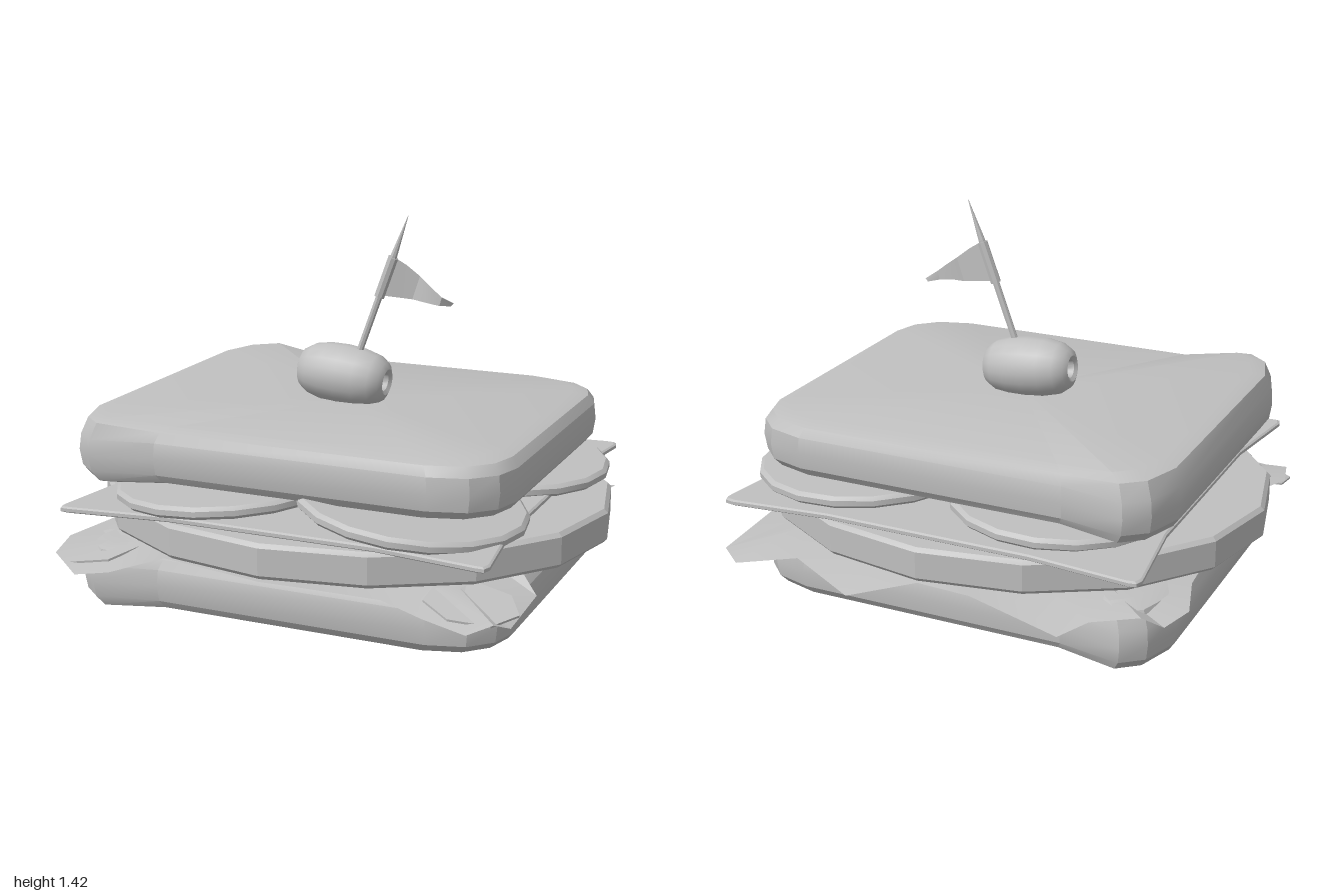
import * as THREE from 'three';
import { toCreasedNormals } from 'three/addons/utils/BufferGeometryUtils.js';

const grey = new THREE.MeshStandardMaterial({ color: 0xc0c0c0 });
grey.name = 'plain grey';
const greyThin = new THREE.MeshStandardMaterial({ color: 0xc0c0c0, side: THREE.DoubleSide });
greyThin.name = 'plain grey sheet';

function part(group, name, geometry, material = grey, crease = 0.45) {
  const mesh = new THREE.Mesh(toCreasedNormals(geometry, crease), material);
  mesh.name = name;
  group.add(mesh);
  return mesh;
}

function build(positions, index) {
  const g = new THREE.BufferGeometry();
  g.setAttribute('position', new THREE.Float32BufferAttribute(positions, 3));
  g.setIndex(index);
  g.computeVertexNormals();
  return g;
}

// Stacks scaled copies of an [x, z] outline (clockwise from above); rings are [y, scale]
function loft(outline, rings, centre = [0, 0], lift = () => 0) {
  const [cx, cz] = centre, n = outline.length, pos = [], idx = [];
  for (const [y, s] of rings) {
    for (const [x, z] of outline) {
      pos.push(cx + (x - cx) * s, y + lift(x, y), cz + (z - cz) * s);
    }
  }
  const last = (rings.length - 1) * n, bottom = rings.length * n;
  pos.push(cx, rings[0][0], cz, cx, rings[rings.length - 1][0], cz);
  for (let i = 0; i < n; i++) {
    const j = (i + 1) % n;
    for (let r = 0; r < last; r += n) {
      idx.push(r + i, r + n + i, r + j, r + j, r + n + i, r + n + j);
    }
    idx.push(bottom, i, j, bottom + 1, last + j, last + i);
  }
  return build(pos, idx);
}

function ellipse(rx, rz, n) {
  return Array.from({ length: n }, (_, i) => {
    const a = (i / n) * Math.PI * 2;
    return [rx * Math.cos(a), rz * Math.sin(a)];
  });
}

// Straight tapered rod between two points
function rod(group, name, a, b, r0, r1, sides = 8) {
  const from = new THREE.Vector3(...a), dir = new THREE.Vector3(...b).sub(from);
  const m = part(group, name, new THREE.CylinderGeometry(r1, r0, dir.length(), sides));
  m.position.copy(from).addScaledVector(dir, 0.5);
  m.quaternion.setFromUnitVectors(new THREE.Vector3(0, 1, 0), dir.normalize());
  return m;
}

export function createModel() {
  const model = new THREE.Group();
  model.name = 'sandwich';

  // Bread: rounded slices with two slightly raised ears on one side
  const slice = [
    [-0.86, -0.52], [-0.81, -0.67], [-0.73, -0.735], [-0.49, -0.69], [0.56, -0.69],
    [0.7, -0.65], [0.78, -0.57], [0.81, -0.47], [0.81, 0.49], [0.78, 0.6], [0.7, 0.68],
    [0.56, 0.72], [-0.49, 0.72], [-0.73, 0.77], [-0.81, 0.7], [-0.86, 0.54]];
  const crust = [[0, 0.9], [0.012, 0.96], [0.05, 0.99], [0.11, 1], [0.17, 0.992], [0.205, 0.965], [0.22, 0.9]];
  const ear = (x, y) => (x < -0.6 && y > 0.2 ? 0.025 : x > -0.6 && y < 0.02 ? 0.008 : 0);
  for (const [name, y] of [['bottomBread', 0.003], ['topBread', 0.483]]) {
    part(model, name, loft(slice, crust, [-0.02, 0.015], ear)).position.y = y;
  }

  // Lettuce: ragged sheet with drooping edges, points [x, z, y]
  const leaf = [
    [-0.87, -0.4, 0.24], [-0.92, -0.57, 0.22], [-0.87, -0.68, 0.2], [-0.8, -0.72, 0.24],
    [-0.63, -0.77, 0.21], [-0.55, -0.86, 0.18], [-0.2, -0.82, 0.24], [0.02, -0.79, 0.23],
    [0.25, -0.9, 0.18], [0.51, -0.8, 0.23], [0.74, -0.86, 0.19], [0.81, -0.82, 0.22],
    [0.8, -0.5, 0.25], [0.84, 0, 0.25], [0.8, 0.4, 0.25], [0.88, 0.48, 0.2],
    [0.87, 0.73, 0.17], [0.84, 0.82, 0.21], [0.76, 0.87, 0.18], [0.6, 0.86, 0.21],
    [0.42, 0.78, 0.22], [0.15, 0.83, 0.24], [0, 0.86, 0.25], [-0.2, 0.8, 0.24], [-0.42, 0.78, 0.25],
    [-0.6, 0.87, 0.2], [-0.73, 0.89, 0.18], [-0.86, 0.81, 0.22], [-0.9, 0.65, 0.23],
    [-0.82, 0.4, 0.25]];
  const pos = [], idx = [], n = leaf.length;
  for (const s of [0.78, 1]) {
    for (const [x, z, y] of leaf) pos.push(x * s, s < 1 ? 0.25 : y, z * s);
  }
  pos.push(0, 0.25, 0);
  for (let i = 0; i < n; i++) {
    const j = (i + 1) % n;
    idx.push(2 * n, j, i, i, j, n + i, j, n + j, n + i);
  }
  part(model, 'lettuce', build(pos, idx), greyThin);

  // Folded lettuce tips at the front corners
  for (const [x, z, turn] of [[-0.74, 0.7, 0.12], [0.72, 0.7, -0.12]]) {
    const tip = part(model, 'lettuceFold', loft(ellipse(0.17, 0.14, 7), [[-0.004, 1], [0.004, 1]]));
    tip.position.set(x, 0.225, z);
    tip.rotation.set(0.15, 0, turn);
  }

  // Thick round patty
  const patty = loft(ellipse(1, 0.855, 16), [[0.26, 0.985], [0.275, 1], [0.375, 1], [0.39, 0.985]]);
  part(model, 'patty', patty, grey, 0.3).position.z = 0.015;

  // Cheese: square sheet with gently hollow edges and rounded corners
  const cheese = [
    [-0.82, -0.77], [-0.81, -0.8], [-0.78, -0.805], [-0.4, -0.765], [0.4, -0.765],
    [0.78, -0.805], [0.81, -0.8], [0.82, -0.77], [0.77, -0.4], [0.77, 0.44], [0.82, 0.81],
    [0.81, 0.84], [0.78, 0.84], [0.4, 0.79], [-0.4, 0.79], [-0.78, 0.84], [-0.81, 0.84],
    [-0.82, 0.81], [-0.77, 0.44], [-0.77, -0.4]];
  part(model, 'cheese', loft(cheese, [[0.39, 0.99], [0.395, 1], [0.407, 1], [0.412, 0.99]]));

  // Four overlapping tomato slices [x, y, z, radius, tilt]
  for (const [x, y, z, r, tilt] of [
    [-0.33, 0.435, -0.31, 0.42, 0.03], [0.47, 0.437, -0.3, 0.435, -0.04],
    [-0.33, 0.452, 0.44, 0.42, 0.06], [0.4, 0.458, 0.44, 0.42, -0.12]]) {
    const tomato = part(model, 'tomatoSlice',
      loft(ellipse(r, r, 18), [[-0.023, 0.965], [-0.01, 1], [0.01, 1], [0.023, 0.965]]));
    tomato.position.set(x, y, z);
    tomato.rotation.z = tilt;
  }

  // Olive: barrel on its side with a dimple in each end
  const half = [[0, 0.13], [0.028, 0.13], [0.035, 0.168], [0.05, 0.178], [0.075, 0.166], [0.098, 0.13], [0.112, 0.07]];
  const profile = [
    ...half.map(([r, h]) => new THREE.Vector2(r, -h)),
    new THREE.Vector2(0.116, 0),
    ...half.slice().reverse().map(([r, h]) => new THREE.Vector2(r, h))];
  const olive = part(model, 'olive', new THREE.LatheGeometry(profile, 18), grey, 0.7);
  olive.position.set(-0.05, 0.797, 0.016);
  olive.rotation.z = Math.PI / 2 - 0.09;

  // Cocktail stick with sharp tip
  rod(model, 'stick', [-0.03, 0.77, 0.022], [0.155, 1.27, 0.022], 0.013, 0.013);
  rod(model, 'stickTip', [0.155, 1.27, 0.022], [0.21, 1.42, 0.022], 0.013, 0.001);

  // Flag: sleeve round the stick and a rippling pennant
  rod(model, 'flagSleeve', [0.096, 1.11, 0.022], [0.152, 1.262, 0.022], 0.02, 0.02);
  const ripple = [
    [0.152, 1.265, 0.098, 1.115, 0.022], [0.2, 1.235, 0.16, 1.11, 0.01], [0.25, 1.195, 0.22, 1.105, 0.0],
    [0.3, 1.16, 0.28, 1.1, 0.018], [0.345, 1.125, 0.335, 1.092, 0.02], [0.38, 1.1, 0.37, 1.088, -0.012]];
  const flagPos = [], flagIdx = [];
  ripple.forEach(([x1, y1, x0, y0, z], i) => {
    flagPos.push(x0, y0, z, x1, y1, z);
    if (i) flagIdx.push(2 * i - 2, 2 * i, 2 * i - 1, 2 * i, 2 * i + 1, 2 * i - 1);
  });
  part(model, 'flag', build(flagPos, flagIdx), greyThin);

  return model;
}
